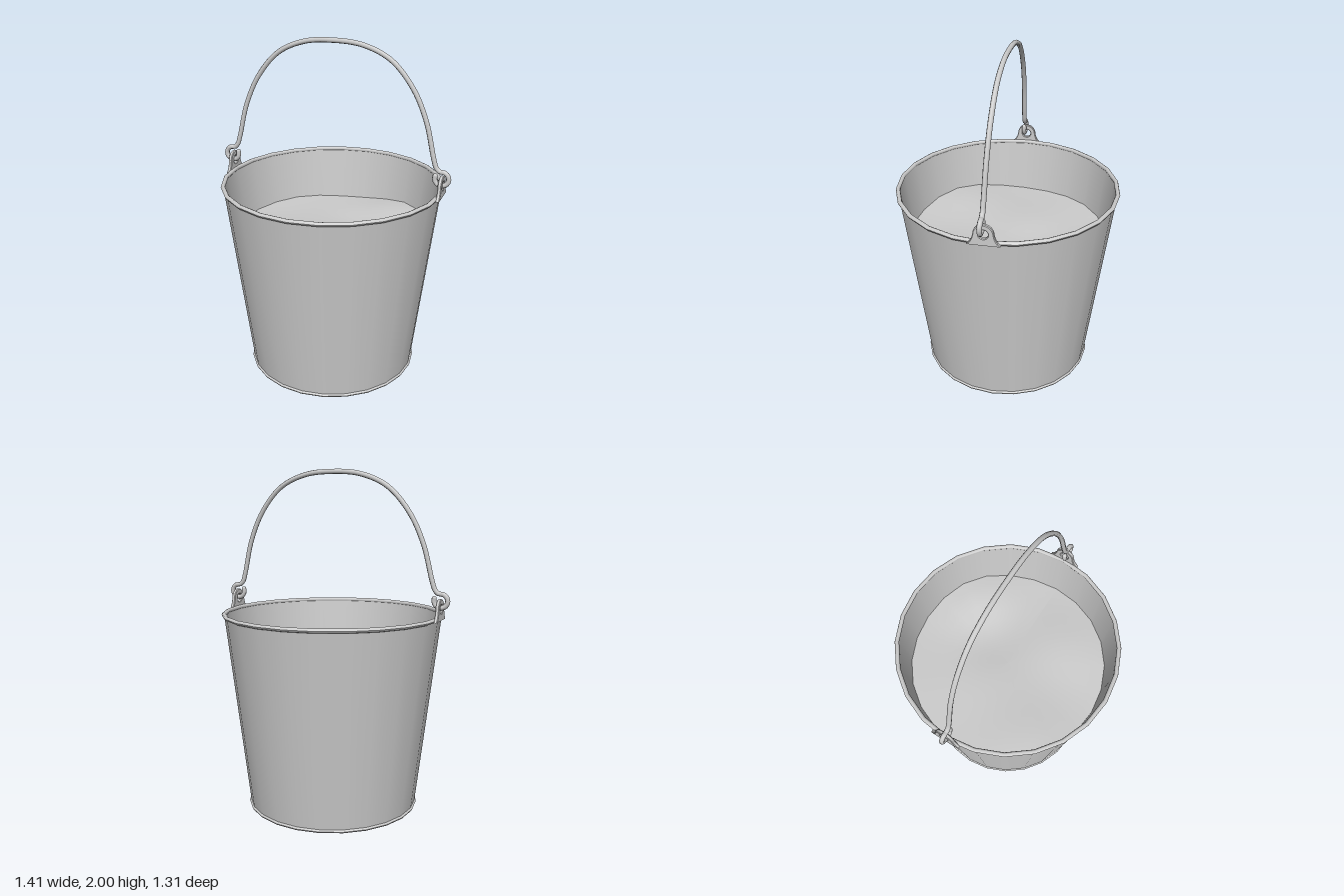
import * as THREE from 'three';

const SEG = 24;

export function createModel() {
  const group = new THREE.Group();
  const mat = new THREE.MeshStandardMaterial({ color: 0xcccccc });
  const add = (name, geo, parent = group) => {
    const mesh = new THREE.Mesh(geo, mat);
    mesh.name = name;
    parent.add(mesh);
    return mesh;
  };
  const lathe = (name, pts) =>
    add(name, new THREE.LatheGeometry(pts.map(([r, y]) => new THREE.Vector2(r, y)), SEG));
  // Rolled bead: a closed circle swept around the bucket
  const bead = (name, r, y, tube) => {
    const pts = [];
    for (let i = 0; i <= 8; i++) {
      const a = (i / 8) * Math.PI * 2;
      pts.push([r + tube * Math.cos(a), y + tube * Math.sin(a)]);
    }
    return lathe(name, pts);
  };

  // Tapered body with thin sheet walls
  lathe('outerWall', [[0.505, 0.01], [0.642, 1.165]]);
  lathe('innerWall', [[0.634, 1.165], [0.496, 0.012]]);
  bead('topRim', 0.643, 1.165, 0.013);
  bead('bottomRim', 0.505, 0.01, 0.01);
  lathe('base', [[0, 0.006], [0.505, 0.006]]);
  lathe('floor', [[0.5, 0.02], [0, 0.02]]);

  // Contents: a gently uneven surface filling the bucket
  const fill = new THREE.RingGeometry(0, 0.599, SEG, 10);
  fill.rotateX(-Math.PI / 2);
  const p = fill.attributes.position;
  const bump = (x, z, cx, cz, w) => Math.exp(-((x - cx) ** 2 + (z - cz) ** 2) / (w * w));
  for (let i = 0; i < p.count; i++) {
    const x = p.getX(i), z = p.getZ(i);
    const y = 0.845
      + 0.04 * bump(x, z, -0.35, 0.35, 0.3)
      + 0.035 * bump(x, z, 0.3, -0.42, 0.25)
      + 0.025 * bump(x, z, 0.3, 0.2, 0.25)
      - 0.025 * bump(x, z, 0.1, -0.2, 0.2)
      + 0.008 * Math.sin(7 * x + 2) * Math.cos(6 * z);
    p.setY(i, y);
  }
  fill.computeVertexNormals();
  add('contents', fill);

  // Pierced ears on both sides of the rim
  const earShape = new THREE.Shape();
  earShape.moveTo(0.085, 1.16);
  earShape.quadraticCurveTo(0.06, 1.18, 0.052, 1.225);
  earShape.absarc(0, 1.225, 0.052, 0, Math.PI, false);
  earShape.quadraticCurveTo(-0.06, 1.18, -0.085, 1.16);
  const hole = new THREE.Path();
  hole.absarc(0, 1.225, 0.03, 0, Math.PI * 2, true);
  earShape.holes.push(hole);
  const earGeo = new THREE.ExtrudeGeometry(earShape, {
    depth: 0.014, bevelEnabled: true, bevelSize: 0.004, bevelThickness: 0.004,
    bevelSegments: 1, curveSegments: 10,
  });
  earGeo.translate(0, 0, -0.007);
  earGeo.rotateY(Math.PI / 2);
  for (const [name, s] of [['leftEar', 1], ['rightEar', -1]]) {
    add(name, earGeo).position.x = s * 0.651;
  }

  // Wire handle: an arch whose ends curl into hooks through the ears
  const half = [];
  for (let i = 0; i <= 14; i++) {
    const a = THREE.MathUtils.degToRad(-200 + (i / 14) * 305);
    half.push([0.652 + 0.04 * Math.cos(a), 1.268 + 0.04 * Math.sin(a)]);
  }
  half.push([0.618, 1.328], [0.6, 1.38], [0.548, 1.58], [0.465, 1.755],
    [0.335, 1.9], [0.175, 1.97]);
  const flat = [...half, [0, 1.986], ...half.map(([x, y]) => [-x, y]).reverse()];
  const path = flat.map(([x, y]) => new THREE.Vector3(x, y, 0.012 - 0.03 * (y - 1.27)));
  const handle = new THREE.Group();
  handle.name = 'handle';
  group.add(handle);
  add('handleWire',
    new THREE.TubeGeometry(new THREE.CatmullRomCurve3(path), 160, 0.0145, 8), handle);
  for (const end of [path[0], path[path.length - 1]]) {
    add('handleTip', new THREE.SphereGeometry(0.0145, 8, 6), handle).position.copy(end);
  }

  return group;
}
